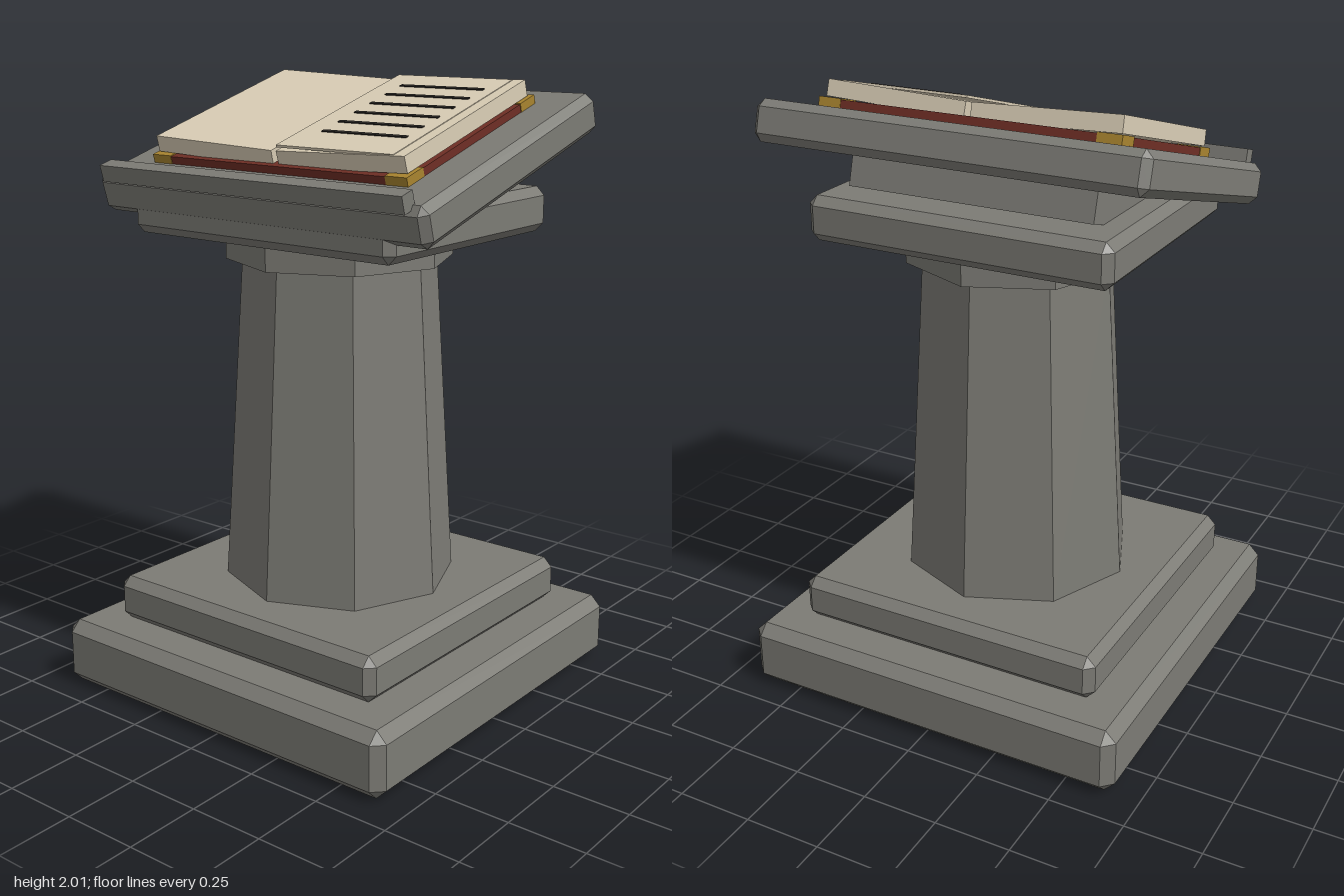
import * as THREE from 'three';
import { ConvexGeometry } from 'three/addons/geometries/ConvexGeometry.js';

const mat = (name, color) => {
  const m = new THREE.MeshStandardMaterial({ color });
  m.name = name;
  return m;
};

// Box with every edge chamfered by c
function chamferBox(w, h, d, c) {
  const points = [];
  for (const sx of [-1, 1]) for (const sy of [-1, 1]) for (const sz of [-1, 1]) {
    for (let full = 0; full < 3; full++) {
      const inset = (axis) => (axis === full ? 0 : c);
      points.push(new THREE.Vector3(
        sx * (w / 2 - inset(0)), sy * (h / 2 - inset(1)), sz * (d / 2 - inset(2))));
    }
  }
  return new ConvexGeometry(points);
}

export function createModel() {
  const stone = mat('stone', 0x7c7b75);
  const paper = mat('paper', 0xd8ccb4);
  const leather = mat('leather', 0x6e2e25);
  const brass = mat('brass', 0xa8842f);
  const ink = mat('ink', 0x2a2724);

  const model = new THREE.Group();
  model.name = 'lectern';
  const add = (parent, name, geometry, material, x, y, z) => {
    const mesh = new THREE.Mesh(geometry, material);
    mesh.name = name;
    mesh.position.set(x, y, z);
    parent.add(mesh);
    return mesh;
  };
  const box = (w, h, d) => new THREE.BoxGeometry(w, h, d);
  const octagon = (top, bottom, h) =>
    new THREE.CylinderGeometry(top, bottom, h, 8).toNonIndexed();
  const flat = (g) => { g.computeVertexNormals(); return g; };

  // Stepped base, tapered column, collar and capital
  add(model, 'lowerStep', chamferBox(1.33, 0.22, 1.33, 0.036), stone, 0, 0.11, 0);
  add(model, 'upperStep', chamferBox(1.07, 0.15, 1.07, 0.03), stone, 0, 0.295, 0);
  add(model, 'column', flat(octagon(0.317, 0.386, 1.09)), stone, 0, 0.91, 0);
  add(model, 'collar', flat(octagon(0.37, 0.37, 0.085)), stone, 0, 1.4875, 0);
  add(model, 'capital', chamferBox(1.03, 0.145, 0.855, 0.028), stone, 0, 1.598, 0);

  // Sloping desk, with its support below and a ledge at the front
  const desk = new THREE.Group();
  desk.name = 'desk';
  desk.position.set(0, 1.775, -0.027);
  desk.rotation.x = 0.28;
  model.add(desk);
  add(desk, 'deskSupport', box(0.83, 0.11, 0.536), stone, 0, -0.11, 0);
  add(desk, 'deskTop', chamferBox(1.29, 0.13, 0.97, 0.025), stone, 0, 0, 0);
  add(desk, 'ledge', box(1.186, 0.055, 0.052), stone, 0, 0.079, 0.476);

  // Open book: cover with brass corners
  const book = new THREE.Group();
  book.name = 'book';
  book.position.y = 0.065;
  desk.add(book);
  add(book, 'cover', box(1, 0.025, 0.7), leather, 0, 0.0125, 0);
  for (const sx of [-1, 1]) for (const sz of [-1, 1]) {
    add(book, 'cornerGuard', box(0.078, 0.028, 0.083), brass, sx * 0.463, 0.0142, sz * 0.31);
  }

  // Two page blocks, each rising slightly towards its outer edge
  for (const s of [-1, 1]) {
    const pages = add(book, s < 0 ? 'rightPages' : 'leftPages',
      box(0.48, 0.052, 0.66), paper, s * 0.25, 0.049, 0);
    pages.rotation.z = s * 0.035;
  }

  // Written sheet with ruled lines
  add(book, 'sheet', box(0.437, 0.008, 0.65), paper, 0.2285, 0.08, 0);
  for (let i = 0; i < 6; i++) {
    add(book, 'writtenLine', box(0.315, 0.004, 0.013), ink, 0.2475, 0.0855, -0.222 + i * 0.0832);
  }
  return model;
}
